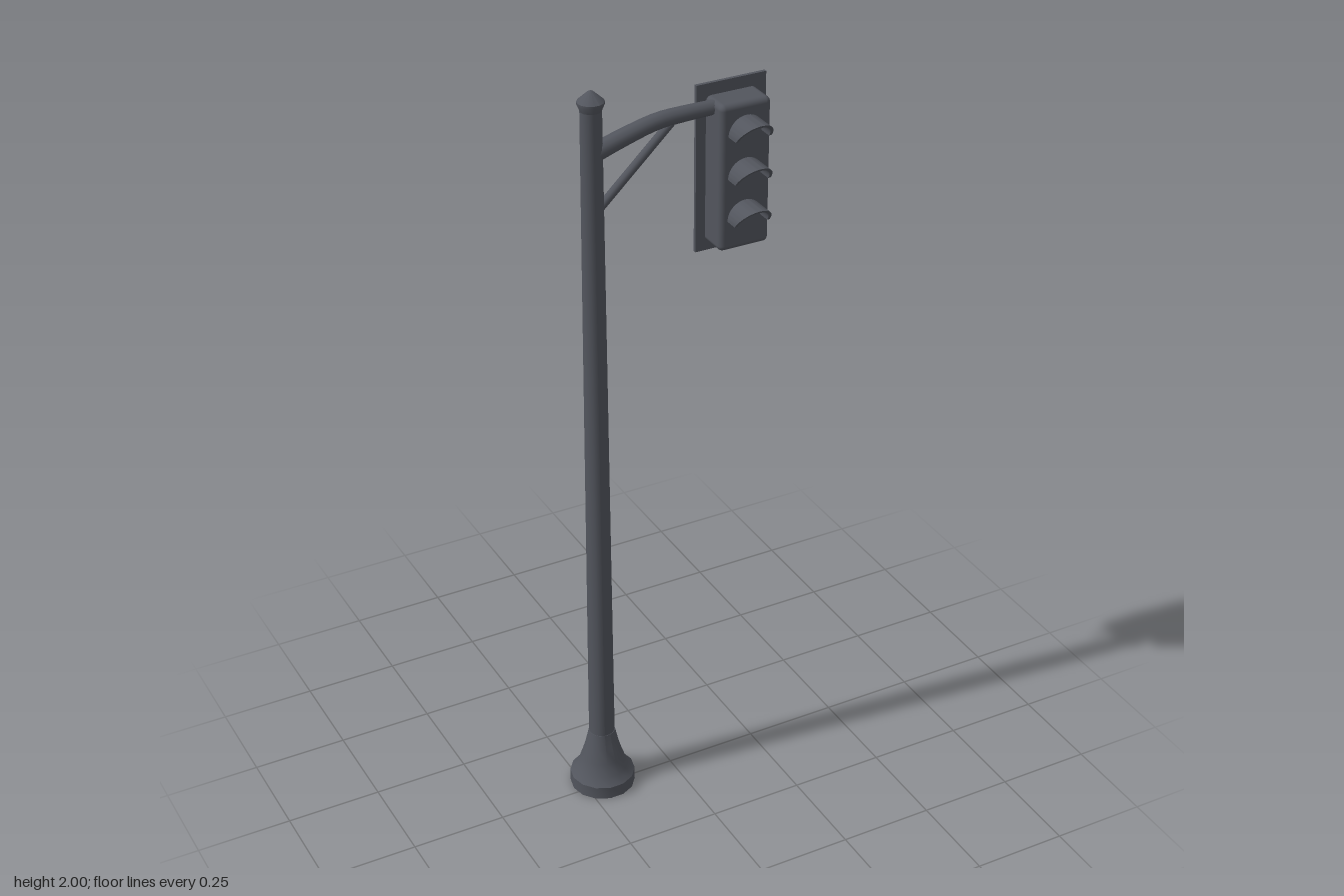
import * as THREE from 'three';
import { toCreasedNormals } from 'three/addons/utils/BufferGeometryUtils.js';
import { RoundedBoxGeometry } from 'three/addons/geometries/RoundedBoxGeometry.js';

const POLE_X = -0.195, POLE_Z = -0.02, HEAD_X = 0.187;

export function createModel() {
  const group = new THREE.Group();
  group.name = 'trafficLight';
  const steel = new THREE.MeshStandardMaterial({ color: 0x52555d });

  steel.name = 'dark grey steel';

  const add = (name, geometry, x = 0, y = 0, z = 0) => {
    const mesh = new THREE.Mesh(geometry, steel);
    mesh.name = name;
    mesh.position.set(x, y, z);
    group.add(mesh);
    return mesh;
  };

  // Turned parts share 14 sides, with a corner facing +x
  const turned = (name, profile) => {
    const points = profile.map(([r, y]) => new THREE.Vector2(r, y));
    const geometry = new THREE.LatheGeometry(points, 14).rotateY(Math.PI / 2);
    return add(name, toCreasedNormals(geometry, 0.6), POLE_X, 0, POLE_Z);
  };

  // Flared foot, tapering pole and pointed cap
  turned('base', [[0, 0], [0.086, 0], [0.086, 0.035], [0.068, 0.055],
    [0.056, 0.09], [0.044, 0.13], [0.035, 0.17], [0, 0.17]]);
  turned('pole', [[0.034, 0.16], [0.026, 1.96]]);
  turned('cap', [[0, 1.945], [0.026, 1.95], [0.033, 1.967], [0.033, 1.973],
    [0.007, 1.997], [0, 2]]);

  // Curved arm, thinning from the pole towards the signal head
  const armCurve = new THREE.CatmullRomCurve3([[-0.2, 1.838], [-0.11, 1.866],
    [-0.025, 1.887], [0.05, 1.891], [0.135, 1.891]]
    .map(([x, y]) => new THREE.Vector3(x, y, POLE_Z)));
  const steps = 14, sides = 10;
  const arm = new THREE.TubeGeometry(armCurve, steps, 1, sides);
  const pos = arm.attributes.position, v = new THREE.Vector3();
  for (let i = 0; i < pos.count; i++) {
    const t = Math.floor(i / (sides + 1)) / steps;
    const centre = armCurve.getPointAt(t);
    v.fromBufferAttribute(pos, i).sub(centre).multiplyScalar(0.024 - 0.006 * t).add(centre);
    pos.setXYZ(i, v.x, v.y, v.z);
  }
  add('arm', arm);

  // Diagonal brace under the arm
  const brace = new THREE.LineCurve3(
    new THREE.Vector3(-0.185, 1.69, POLE_Z), new THREE.Vector3(0.012, 1.876, POLE_Z));
  add('brace', new THREE.TubeGeometry(brace, 1, 0.011, 8));

  // Signal housing and back plate
  add('signalHousing', new RoundedBoxGeometry(0.136, 0.38, 0.114, 3, 0.014), HEAD_X, 1.72, -0.028);
  add('backPlate', new THREE.BoxGeometry(0.188, 0.436, 0.009), HEAD_X, 1.723, -0.05);

  // Half-round visors, cut back along a slope from the crown to the sides
  const arch = new THREE.Shape();
  arch.absarc(0, 0, 0.048, 0, Math.PI, false);
  arch.absarc(0, 0, 0.041, Math.PI, 0, true);
  let visor = new THREE.ExtrudeGeometry(arch, { depth: 0.04, bevelEnabled: false, curveSegments: 14 });
  const vp = visor.attributes.position;
  for (let i = 0; i < vp.count; i++) {
    if (vp.getZ(i) > 0.02) vp.setZ(i, 0.038 + 0.038 * vp.getY(i) / 0.048);
  }
  visor = toCreasedNormals(visor, 0.6);
  [1.83, 1.72, 1.61].forEach((y, i) => add(`visor${i + 1}`, visor, HEAD_X, y, 0.026));

  return group;
}
